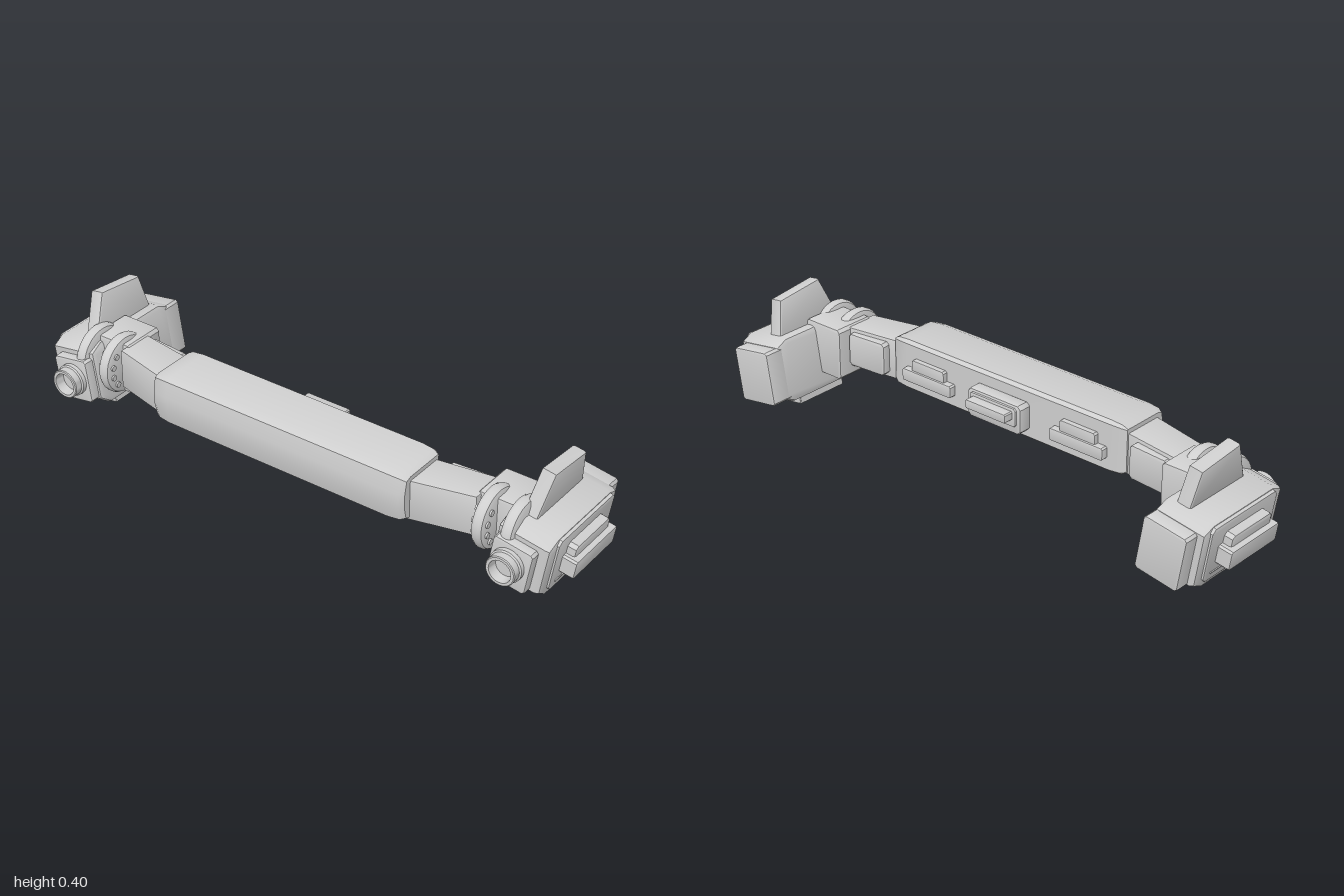
import * as THREE from 'three';
import { toCreasedNormals } from 'three/addons/utils/BufferGeometryUtils.js';

const grey = new THREE.MeshStandardMaterial({ color: 0xcfcfcf });
grey.name = 'light grey';

export function createModel() {
  const root = new THREE.Group();
  root.name = 'stereoCameraBar';

  const add = (parent, name, geo, x = 0, y = 0, z = 0) => {
    const m = new THREE.Mesh(toCreasedNormals(geo, 0.6), grey);
    m.name = name;
    m.position.set(x, y, z);
    parent.add(m);
    return m;
  };

  // Solid of given depth from an outline, bevelled inside its own bounds
  const extrude = (pts, depth, size, thick = size) => {
    const g = new THREE.ExtrudeGeometry(new THREE.Shape(pts.map(p => new THREE.Vector2(...p))), {
      depth: depth - 2 * thick, bevelEnabled: size > 0, bevelSize: size,
      bevelOffset: -size, bevelThickness: thick, bevelSegments: 2
    });
    return g.translate(0, 0, -depth / 2 + thick);
  };
  // Outline in (z, y), running along x
  const prism = (pts, width, size, thick) => extrude(pts, width, size, thick).rotateY(-Math.PI / 2);
  // Rectangle with cut corners
  const cut = (w, h, c) => [
    [-w / 2 + c, -h / 2], [w / 2 - c, -h / 2], [w / 2, -h / 2 + c], [w / 2, h / 2 - c],
    [w / 2 - c, h / 2], [-w / 2 + c, h / 2], [-w / 2, h / 2 - c], [-w / 2, -h / 2 + c]];
  const block = (w, h, d, c = 0.008) => extrude(cut(w, h, c), d, c * 0.7);

  // Main bar
  add(root, 'centreBar', prism([
    [0.03, 0.148], [0.042, 0.138], [0.19, 0.138], [0.222, 0.15], [0.234, 0.2], [0.234, 0.25],
    [0.224, 0.302], [0.195, 0.314], [0.042, 0.314], [0.03, 0.304]], 0.96, 0.014, 0.06));

  // Rear mount: stepped base with a projecting tab
  add(root, 'rearMountBase', block(0.22, 0.1, 0.05, 0.012), 0, 0.22, 0.008);
  add(root, 'rearMountStep', block(0.19, 0.065, 0.04, 0.008), 0, 0.228, -0.004);
  add(root, 'rearMountTab', block(0.165, 0.03, 0.08, 0.004), 0, 0.235, -0.018);

  for (const s of [1, -1]) {
    const side = s > 0 ? 'left' : 'right';

    // Rear rail on the bar
    add(root, side + 'RailBase', block(0.21, 0.042, 0.036, 0.005), s * 0.31, 0.205, 0.024);
    add(root, side + 'RailTop', block(0.14, 0.045, 0.026, 0.006), s * 0.31, 0.24, 0.026);

    // Swept arm and its rear cover
    add(root, side + 'Arm', extrude([[0.45, 0.055], [0.68, 0.02], [0.68, 0.145], [0.45, 0.2]]
      .map(([x, z]) => [s * x, z]), 0.14, 0.005).rotateX(Math.PI / 2), 0, 0.215, 0);
    add(root, side + 'ArmCover', block(0.15, 0.115, 0.05, 0.01), s * 0.585, 0.215, 0.036)
      .rotation.y = s * 0.08;

    // Hinge block with two rounded knuckles
    add(root, side + 'HingeBlock', block(0.155, 0.18, 0.15, 0.01), s * 0.742, 0.2, 0.045);
    for (const x of [0.715, 0.812]) {
      const knuckle = new THREE.LatheGeometry([
        [0, -0.022], [0.085, -0.022], [0.097, -0.017], [0.103, -0.006],
        [0.103, 0.006], [0.097, 0.017], [0.085, 0.022], [0, 0.022]
      ].map(p => new THREE.Vector2(...p)), 32).rotateZ(Math.PI / 2);
      add(root, side + 'HingeKnuckle', knuckle, s * x, 0.208, 0.1);
    }
    // Bolts along the knuckle face
    for (let i = 0; i < 4; i++) {
      const a = -0.75 + i * 0.5;
      add(root, side + 'HingeBolt', new THREE.CylinderGeometry(0.01, 0.01, 0.056, 12).rotateZ(Math.PI / 2),
        s * 0.715, 0.208 + 0.075 * Math.sin(a), 0.1 + 0.075 * Math.cos(a));
    }

    // Camera pod, leaning outward at the top
    const pod = new THREE.Group();
    pod.name = side + 'CameraPod';
    pod.position.set(s * 0.85, 0.15, 0);
    pod.rotation.z = -s * 0.16;
    root.add(pod);

    add(pod, 'podShell', prism([
      [0.178, -0.078], [0.13, -0.112], [-0.16, -0.112], [-0.205, -0.09],
      [-0.205, 0.092], [-0.16, 0.112], [0.13, 0.112], [0.178, 0.088]], 0.18, 0.018));
    add(pod, 'rearHousing', block(0.155, 0.185, 0.1, 0.008), -s * 0.012, -0.002, -0.205);
    add(pod, 'frontPlate', block(0.135, 0.15, 0.05, 0.008), -s * 0.012, -0.003, 0.185);

    // Lens barrel, hollow at the front
    const barrel = new THREE.LatheGeometry([
      [0.055, 0.2], [0.055, 0.224], [0.05, 0.228], [0.05, 0.252], [0.047, 0.255],
      [0.038, 0.255], [0.034, 0.222], [0, 0.222]
    ].map(p => new THREE.Vector2(...p)), 32).rotateX(Math.PI / 2);
    add(pod, 'lensBarrel', barrel, -s * 0.015, 0, 0);

    // Top fin
    add(pod, 'topFin', prism([
      [0.112, 0.1], [-0.157, 0.1], [-0.128, 0.227], [0.05, 0.246]], 0.05, 0.008), -s * 0.03, 0, 0);

    // Outer side panel, stepped grip and slit
    add(pod, 'sidePanel', prism(cut(0.315, 0.19, 0.014).map(([z, y]) => [z - 0.018, y]), 0.03, 0.005),
      s * 0.082, 0.01, 0);
    add(pod, 'gripLower', prism(cut(0.232, 0.065, 0.006).map(([z, y]) => [z - 0.016, y]), 0.065, 0.006),
      s * 0.114, 0.002, 0);
    add(pod, 'gripUpper', prism([
      [0.085, -0.04], [-0.115, -0.04], [-0.112, 0.06], [-0.1, 0.07], [0.07, 0.07], [0.082, 0.06]],
      0.045, 0.009), s * 0.105, 0, 0);
    add(pod, 'panelRib', new THREE.BoxGeometry(0.006, 0.004, 0.26), s * 0.097, -0.057, -0.018);

    // Open vent frame with slats under the pod
    const vent = [[0.014, 0.075], [0.014, -0.108]];
    for (let i = 1; i < 4; i++) vent.push([0.014, 0.075 - i * 0.0457]);
    for (const [d, z] of vent)
      add(pod, 'ventSlat', new THREE.BoxGeometry(0.1, 0.04, d), -s * 0.005, -0.121, z);
    for (const x of [-0.044, 0.044])
      add(pod, 'ventRail', new THREE.BoxGeometry(0.014, 0.04, 0.19), x - s * 0.005, -0.121, -0.0165);
  }
  return root;
}
